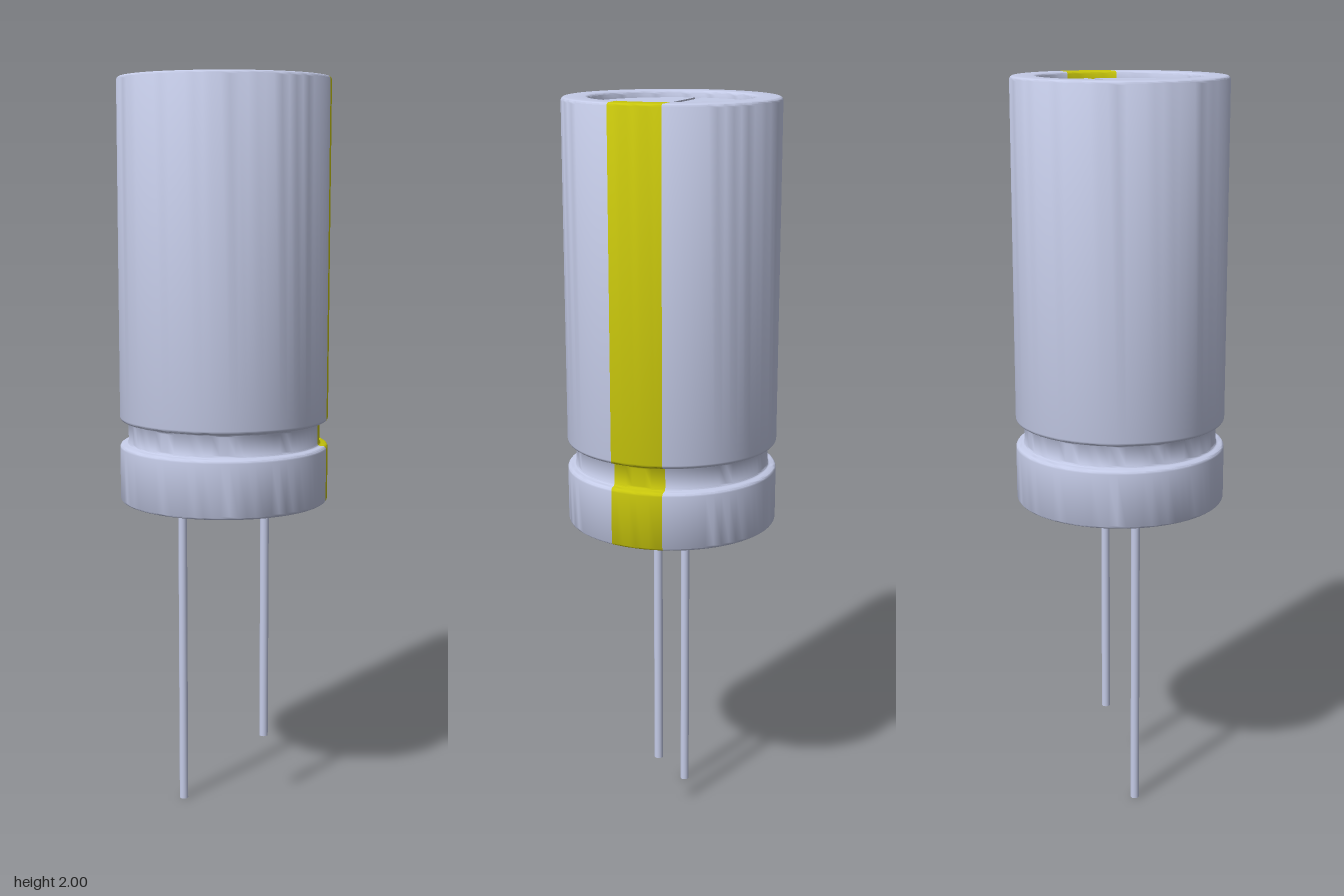
import * as THREE from 'three';
import { toCreasedNormals } from 'three/addons/utils/BufferGeometryUtils.js';

const BOTTOM = 0.87, TOP = 2, R = 0.283, INNER = 0.212;
const STRIPE_HALF = 0.07, STRIPE_COLS = 8, SLEEVE_COLS = 72;

// Points along a quarter-round (or other) arc, angles in degrees
function arc(cx, cy, r, from, to, steps = 4) {
  return Array.from({ length: steps + 1 }, (_, i) => {
    const a = THREE.MathUtils.degToRad(from + (to - from) * i / steps);
    return new THREE.Vector2(cx + r * Math.cos(a), cy + r * Math.sin(a));
  });
}

// Can wall turned from a profile; the first columns form a stripe of constant width on +x
function sleeveGeometry() {
  const f = 0.01;
  const profile = [
    new THREE.Vector2(INNER, BOTTOM + 0.03),
    ...arc(INNER + f, BOTTOM + f, f, 180, 270),
    ...arc(R - f, BOTTOM + f, f, -90, 0),
    ...arc(R - f, 1.018, f, 0, 90),
    ...arc(0.268, 1.036, 0.008, 270, 180),
    ...arc(0.268, 1.084, 0.008, 180, 90),
    ...arc(R - f, 1.102, f, -90, 0),
    ...arc(R - f, TOP - f, f, 0, 90),
    ...arc(INNER + f, TOP - f, f, 90, 180),
    new THREE.Vector2(INNER, TOP - 0.035),
  ];
  const cols = STRIPE_COLS + SLEEVE_COLS;
  const geo = new THREE.LatheGeometry(profile, cols);
  const pos = geo.attributes.position, uv = geo.attributes.uv;
  for (let k = 0; k < pos.count; k++) {
    const r = Math.hypot(pos.getX(k), pos.getZ(k));
    const i = Math.round(uv.getX(k) * cols);
    const half = Math.asin(STRIPE_HALF / r);
    const phi = Math.PI / 2 + (i <= STRIPE_COLS
      ? half * (2 * i / STRIPE_COLS - 1)
      : half + (2 * Math.PI - 2 * half) * (i - STRIPE_COLS) / SLEEVE_COLS);
    pos.setX(k, r * Math.sin(phi));
    pos.setZ(k, r * Math.cos(phi));
  }
  const perCol = (profile.length - 1) * 6;
  geo.addGroup(0, STRIPE_COLS * perCol, 1);
  geo.addGroup(STRIPE_COLS * perCol, SLEEVE_COLS * perCol, 0);
  return toCreasedNormals(geo, 0.7);
}

// One quarter of the vent plate, leaving half a slot along each straight side
function quadrantGeometry(depth) {
  const g = 0.01, a = Math.asin(g / INNER);
  const shape = new THREE.Shape();
  shape.moveTo(g, g);
  shape.lineTo(INNER * Math.cos(a), g);
  shape.absarc(0, 0, INNER, a, Math.PI / 2 - a, false);
  shape.lineTo(g, g);
  return new THREE.ExtrudeGeometry(shape, { depth, bevelEnabled: false, curveSegments: 18 })
    .rotateX(-Math.PI / 2);
}

export function createModel() {
  const metal = new THREE.MeshStandardMaterial({ color: 0xcad1ee });
  metal.name = 'pale metal';
  const yellow = new THREE.MeshStandardMaterial({ color: 0xc8c60c });
  yellow.name = 'stripe yellow';

  const model = new THREE.Group();
  model.name = 'capacitor';
  const add = (name, geo, mat, x = 0, y = 0, z = 0) => {
    const mesh = new THREE.Mesh(geo, mat);
    mesh.name = name;
    mesh.position.set(x, y, z);
    model.add(mesh);
    return mesh;
  };

  add('sleeveWithStripe', sleeveGeometry(), [metal, yellow]);

  // Core closes the recessed top and bottom
  const coreBottom = BOTTOM + 0.02, coreTop = TOP - 0.03;
  add('core', new THREE.CylinderGeometry(INNER, INNER, coreTop - coreBottom, 72), metal,
    0, (coreTop + coreBottom) / 2, 0);

  // Four raised quadrants leave the cross-shaped vent slots
  const quadrant = quadrantGeometry(0.012);
  for (let i = 0; i < 4; i++) {
    add('ventQuadrant' + (i + 1), quadrant, metal, 0, coreTop, 0).rotation.y = i * Math.PI / 2;
  }

  // Long and short wire leads
  for (const [name, x, end] of [['longLead', -0.114, 0], ['shortLead', 0.112, 0.185]]) {
    const length = coreBottom + 0.01 - end;
    add(name, new THREE.CylinderGeometry(0.012, 0.012, length, 24), metal, x, end + length / 2, 0);
  }
  return model;
}
